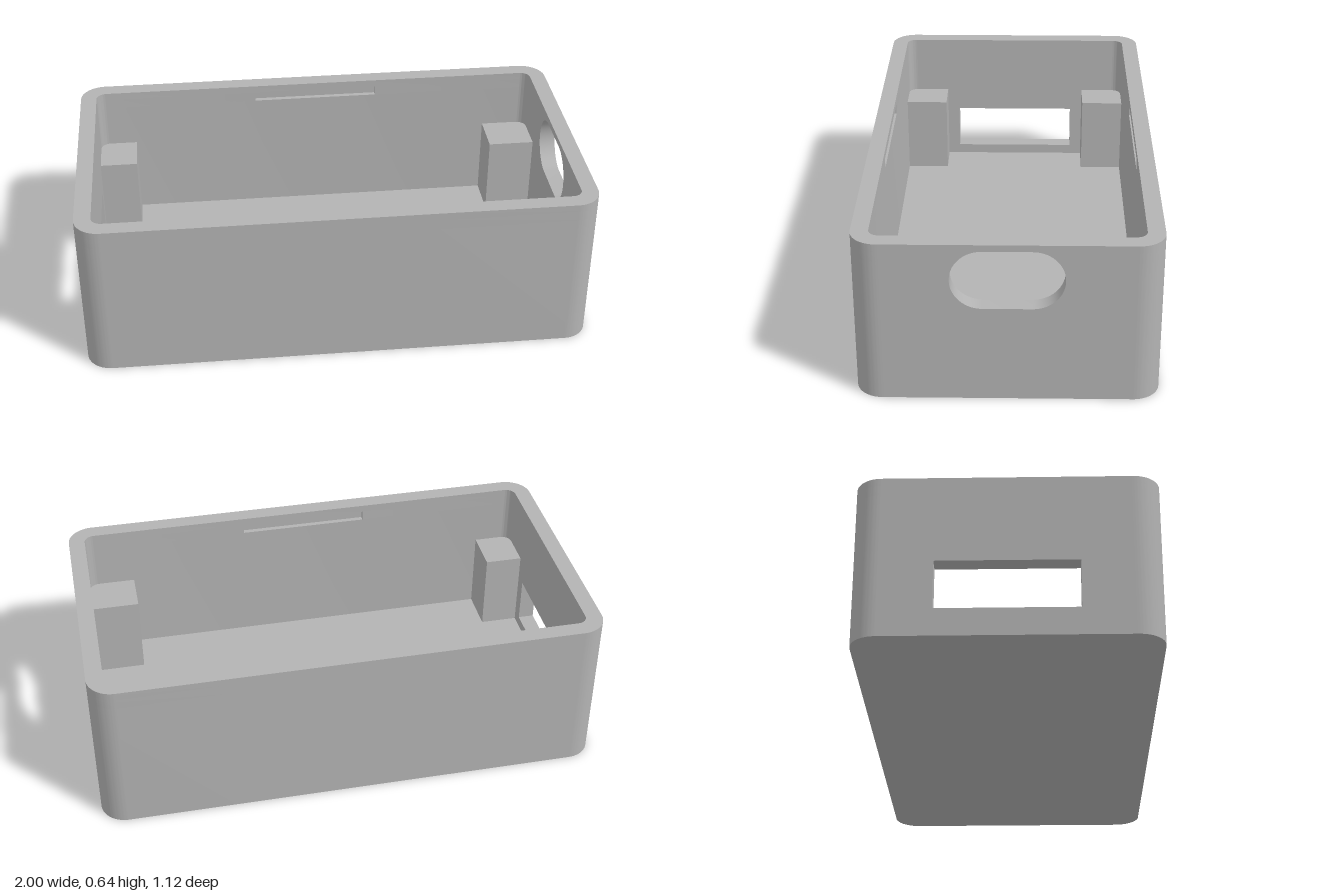
import * as THREE from 'three';
import { toCreasedNormals } from 'three/addons/utils/BufferGeometryUtils.js';

const HX = 1, HZ = 0.5575, HEIGHT = 0.64;  // outer half sizes and height
const WALL = 0.065, FLOOR = 0.065;
const R_OUT = 0.1, R_IN = 0.04;            // corner radii
const IX = HX - WALL, IZ = HZ - WALL;      // inner half sizes
const END = IZ - R_IN;                     // half width of the flat end panels
const SLOT = { half: 0.26, y0: 0.57, y1: 0.61, depth: 0.02 };

const plastic = new THREE.MeshStandardMaterial({ color: 0xb3b3b3 });
plastic.name = 'greyPlastic';

function extrude(shape, depth) {
  const geo = new THREE.ExtrudeGeometry(shape, { depth, bevelEnabled: false, curveSegments: 14 });
  return toCreasedNormals(geo, 0.5);
}

function part(name, geo, parent) {
  const mesh = new THREE.Mesh(geo, plastic);
  mesh.name = name;
  parent.add(mesh);
  return mesh;
}

// Plan of one long wall with both rounded corners, optionally notched inside
function longWallPlan(notched) {
  const s = new THREE.Shape();
  s.moveTo(HX, END);
  s.lineTo(HX, HZ - R_OUT);
  s.absarc(HX - R_OUT, HZ - R_OUT, R_OUT, 0, Math.PI / 2, false);
  s.lineTo(-HX + R_OUT, HZ);
  s.absarc(-HX + R_OUT, HZ - R_OUT, R_OUT, Math.PI / 2, Math.PI, false);
  s.lineTo(-HX, END);
  s.lineTo(-IX, END);
  s.absarc(-IX + R_IN, END, R_IN, Math.PI, Math.PI / 2, true);
  if (notched) {
    s.lineTo(-SLOT.half, IZ);
    s.lineTo(-SLOT.half, IZ + SLOT.depth);
    s.lineTo(SLOT.half, IZ + SLOT.depth);
    s.lineTo(SLOT.half, IZ);
  }
  s.lineTo(IX - R_IN, IZ);
  s.absarc(IX - R_IN, END, R_IN, Math.PI / 2, 0, true);
  s.closePath();
  return s;
}

// Long wall stacked from layers so the snap slot is a blind recess
function longWall(name, turn) {
  const wall = new THREE.Group();
  wall.name = name;
  const layers = [[0, SLOT.y0, false], [SLOT.y0, SLOT.y1, true], [SLOT.y1, HEIGHT, false]];
  for (const [y0, y1, notched] of layers) {
    const geo = extrude(longWallPlan(notched), y1 - y0);
    geo.rotateX(-Math.PI / 2).translate(0, y0, 0);
    part(notched ? 'slotLayer' : 'wallLayer', geo, wall);
  }
  wall.rotation.y = turn;
  return wall;
}

// Flat end panel with an opening
function endPanel(name, side, hole) {
  const s = new THREE.Shape();
  s.moveTo(-END, 0);
  s.lineTo(END, 0);
  s.lineTo(END, HEIGHT);
  s.lineTo(-END, HEIGHT);
  s.closePath();
  s.holes.push(hole);
  const geo = extrude(s, WALL);
  geo.translate(0, 0, IX).rotateY(side * Math.PI / 2);
  return geo;
}

function oblongHole() {
  const y = 0.498, r = 0.116, dx = 0.09;
  const p = new THREE.Path();
  p.absarc(dx, y, r, Math.PI / 2, -Math.PI / 2, true);
  p.absarc(-dx, y, r, -Math.PI / 2, -Math.PI * 1.5, true);
  p.closePath();
  return p;
}

function rectHole() {
  const w = 0.262, y0 = 0.107, y1 = 0.296;
  const p = new THREE.Path();
  p.moveTo(-w, y0);
  p.lineTo(-w, y1);
  p.lineTo(w, y1);
  p.lineTo(w, y0);
  p.closePath();
  return p;
}

export function createModel() {
  const box = new THREE.Group();
  box.name = 'enclosure';

  box.add(longWall('backWall', 0), longWall('frontWall', Math.PI));
  part('leftEndWall', endPanel('left', 1, oblongHole()), box);
  part('rightEndWall', endPanel('right', -1, rectHole()), box);

  // Floor fills the inner footprint
  const f = new THREE.Shape();
  f.absarc(IX - R_IN, END, R_IN, 0, Math.PI / 2, false);
  f.absarc(-IX + R_IN, END, R_IN, Math.PI / 2, Math.PI, false);
  f.absarc(-IX + R_IN, -END, R_IN, Math.PI, Math.PI * 1.5, false);
  f.absarc(IX - R_IN, -END, R_IN, Math.PI * 1.5, Math.PI * 2, false);
  f.closePath();
  part('floor', extrude(f, FLOOR).rotateX(-Math.PI / 2), box);

  // Corner posts, run slightly into the walls to fill the rounded corners
  const top = 0.393, sink = 0.02, innerZ = 0.313;
  for (const [sx, innerX] of [[1, 0.745], [-1, 0.782]]) {
    for (const sz of [1, -1]) {
      const w = IX + sink - innerX, d = IZ + sink - innerZ, h = top - FLOOR + 0.01;
      const post = part('cornerPost', new THREE.BoxGeometry(w, h, d), box);
      post.position.set(sx * (innerX + w / 2), top - h / 2, sz * (innerZ + d / 2));
    }
  }
  return box;
}
